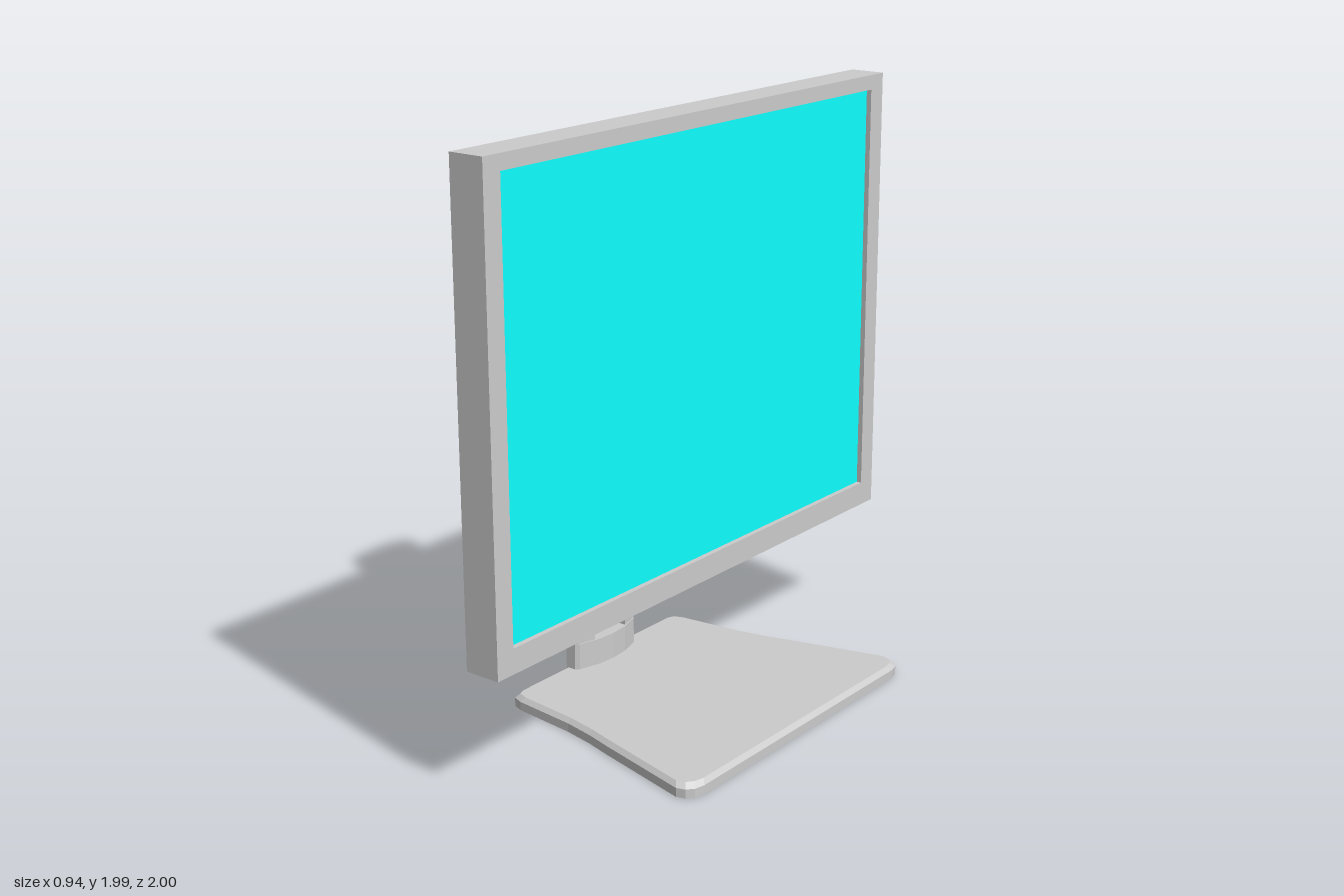
import * as THREE from 'three';

const grey = new THREE.MeshStandardMaterial({ color: 0xcccccc, flatShading: true });
const cyan = new THREE.MeshStandardMaterial({ color: 0x10ffff });

// Closed solid through layers [height, [[x, z], ...]], capped at both ends
function loft(layers) {
  const rings = layers.map(([y, pts]) => {
    const flat = pts.map(([x, z]) => new THREE.Vector2(x, z));
    return { y, flat };
  });
  if (THREE.ShapeUtils.isClockWise(rings[0].flat)) rings.forEach((r) => r.flat.reverse());
  const n = rings[0].flat.length;
  const pos = [];
  const put = (r, i) => pos.push(r.flat[i % n].x, r.y, r.flat[i % n].y);
  for (let k = 0; k + 1 < rings.length; k++) {
    const a = rings[k], b = rings[k + 1];
    for (let i = 0; i < n; i++) {
      put(a, i); put(b, i); put(a, i + 1);
      put(a, i + 1); put(b, i); put(b, i + 1);
    }
  }
  const first = rings[0], last = rings[rings.length - 1];
  for (const [i, j, k] of THREE.ShapeUtils.triangulateShape(first.flat, [])) {
    put(first, i); put(first, j); put(first, k);
  }
  for (const [i, j, k] of THREE.ShapeUtils.triangulateShape(last.flat, [])) {
    put(last, i); put(last, k); put(last, j);
  }
  const g = new THREE.BufferGeometry();
  g.setAttribute('position', new THREE.Float32BufferAttribute(pos, 3));
  g.computeVertexNormals();
  return g;
}

// Full outline from its +z half, listed from back to front
const mirrorZ = (half) => [
  ...half,
  ...half.filter(([, z]) => z > 0).reverse().map(([x, z]) => [x, -z]),
];
const scaled = (pts, cx, sx, sz) => pts.map(([x, z]) => [cx + (x - cx) * sx, z * sz]);

export function createModel() {
  const model = new THREE.Group();
  const add = (name, geometry, material = grey) => {
    const mesh = new THREE.Mesh(geometry, material);
    mesh.name = name;
    model.add(mesh);
    return mesh;
  };

  // Panel housing: tapered back, straight rim, bezel and recess, lofted along x
  const rect = (y0, y1, hz) => [[-y0, -hz], [-y0, hz], [-y1, hz], [-y1, -hz]];
  const outer = rect(0.43, 1.985, 1);
  const opening = rect(0.513, 1.935, 0.93);
  const housing = loft([
    [-0.135, rect(0.63, 1.81, 0.775)],
    [-0.06, outer],
    [0.065, outer],
    [0.065, opening],
    [0.045, opening],
  ]);
  add('panelHousing', housing.rotateZ(-Math.PI / 2));

  // Display surface inside the recess
  const display = new THREE.PlaneGeometry(1.86, 1.422).rotateY(Math.PI / 2);
  add('display', display, cyan).position.set(0.047, 1.224, 0);

  // Base plate: flared toward the front, with rounded corners and a bevelled top
  const foot = mirrorZ([
    [-0.415, 0.40], [-0.405, 0.425], [-0.37, 0.438],
    [-0.14, 0.463], [-0.03, 0.485], [0.065, 0.511],
    [0.41, 0.597], [0.44, 0.588], [0.46, 0.565], [0.468, 0.53],
  ]);
  add('basePlate', loft([
    [0, foot],
    [0.03, foot],
    [0.045, scaled(foot, 0.027, 0.968, 0.972)],
  ]));

  // Collar: pointed at the rear, bowed at the front
  const collar = mirrorZ([
    [-0.472, 0], [-0.422, 0.14], [-0.41, 0.157], [-0.372, 0.157],
    [-0.36, 0.145], [-0.338, 0.07], [-0.332, 0],
  ]);
  add('collar', loft([[0, collar], [0.137, collar]]));

  // Column: two legs beside the cable opening, solid above with a bevelled top
  const side = [
    [-0.445, 0.08], [-0.418, 0.145], [-0.408, 0.156],
    [-0.374, 0.156], [-0.364, 0.145], [-0.346, 0.08],
  ];
  const column = mirrorZ(side);
  for (const s of [1, -1]) {
    const leg = side.map(([x, z]) => [x, z * s]);
    add(s > 0 ? 'columnLegLeft' : 'columnLegRight', loft([[0.13, leg], [0.31, leg]]));
  }
  add('column', loft([
    [0.31, column],
    [1.68, column],
    [1.697, scaled(column, -0.395, 0.8, 0.93)],
  ]));

  // Pair of bracket plates joining column and panel
  for (const z of [0.108, -0.108]) {
    add('bracketPlate', new THREE.BoxGeometry(0.25, 0.186, 0.022)).position.set(-0.25, 1.222, z);
  }

  return model;
}
